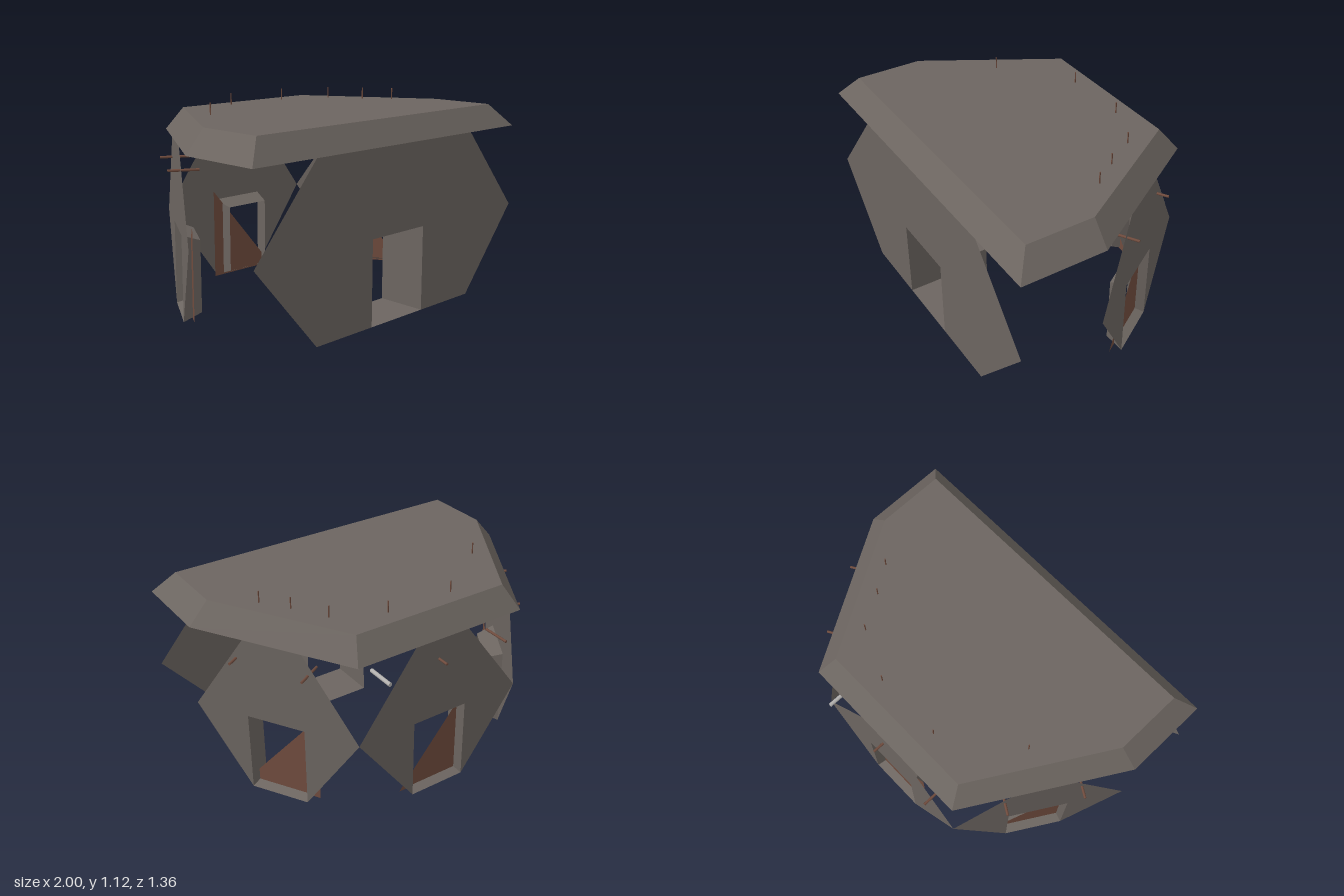
import * as THREE from 'three';

const stone = new THREE.MeshStandardMaterial({ name: 'grey brown wall', color: 0x6c6560, side: THREE.DoubleSide });
const hide = new THREE.MeshStandardMaterial({ name: 'red brown hide', color: 0x704c3e, side: THREE.DoubleSide });
const pale = new THREE.MeshStandardMaterial({ name: 'pale grey pole', color: 0xb4b2b0 });

const MID = 0.467, TOP = 0.93;

function mesh(name, geometry, material, parent) {
  const m = new THREE.Mesh(geometry, material);
  m.name = name;
  parent.add(m);
  return m;
}

// Flat-sided skin between two loops of [x, y, z]
function loft(a, b) {
  const pos = [];
  a.forEach((p, i) => {
    const j = (i + 1) % a.length;
    pos.push(...p, ...a[j], ...b[j], ...p, ...b[j], ...b[i]);
  });
  const g = new THREE.BufferGeometry();
  g.setAttribute('position', new THREE.Float32BufferAttribute(pos, 3));
  g.computeVertexNormals();
  return g;
}

function flat(points) {
  return new THREE.ShapeGeometry(new THREE.Shape(points.map(p => new THREE.Vector2(...p))));
}

// Hexagonal wall sheet with a doorway cut up from the ground
function wallSheet(half, end, door) {
  return flat([[-half, MID], [-end, 0], [-door, 0], [-door, MID], [door, MID],
    [door, 0], [end, 0], [half, MID], [end, TOP], [-end, TOP]]);
}

// Four-sided doorway lining, optionally narrowing inwards
function lining(door, inset, depth) {
  const ring = (w, y0, y1, z) => [[-w, y0, z], [w, y0, z], [w, y1, z], [-w, y1, z]];
  return loft(ring(door, 0, MID, 0), ring(door - inset, inset * 1.4, MID - inset * 1.4, -depth));
}

// Small wall in local space: +z points outwards
function sideWall(name, x, z, angle, half, pegs) {
  const g = new THREE.Group();
  g.name = name;
  g.position.set(x, 0, z);
  g.rotation.y = angle;
  mesh('wallSheet', wallSheet(half, 0.167, 0.167), stone, g);
  mesh('doorLining', lining(0.167, 0.027, 0.1), stone, g);
  const flap = mesh('doorFlap', flat([[-0.22, 0.01], [0.22, 0.01], [0.22, 0.53]]), hide, g);
  flap.position.z = -0.05;
  for (const [u, material] of pegs) {
    const r = material === pale ? 0.011 : 0.007;
    const peg = mesh('peg', new THREE.CylinderGeometry(r, r, 0.16, 8), material, g);
    peg.rotation.x = Math.PI / 2;
    peg.position.set(u, material === pale ? 0.822 : 0.814, -0.015);
  }
  return g;
}

export function createModel() {
  const model = new THREE.Group();
  model.name = 'hut';

  // Broad front wall and its straight entrance passage
  const front = new THREE.Group();
  front.name = 'frontWall';
  front.position.z = 0.68;
  mesh('wallSheet', wallSheet(1, 0.6, 0.2), stone, front);
  mesh('entrancePassage', lining(0.2, 0, 0.28), stone, front);
  model.add(front);

  // Back wall and the two slanted side walls
  const slant = Math.atan2(0.859, -0.513);
  model.add(sideWall('backWall', 0, -0.613, Math.PI, 0.51, [[-0.37, pale], [-0.02, hide], [0.37, hide]]));
  model.add(sideWall('leftWall', 0.755, -0.203, slant, 0.478, [[-0.21, hide], [0.2, hide]]));
  model.add(sideWall('rightWall', -0.755, -0.203, -slant, 0.478, [[-0.2, hide], [0.21, hide]]));

  // Overhanging roof slab with sloped edges
  const eaves = [[-1, 0.68], [1, 0.68], [1, 0.205], [0.513, -0.615], [-0.513, -0.615], [-1, 0.205]];
  const crown = [[-0.89, 0.585], [0.89, 0.585], [0.89, 0.205], [0.46, -0.52], [-0.46, -0.52], [-0.89, 0.205]];
  const lift = (loop, y) => loop.map(([x, z]) => [x, y, z]);
  mesh('roofEdge', loft(lift(eaves, TOP), lift(crown, 1.055)), stone, model);
  const cap = (name, loop, y, dir) => {
    const m = mesh(name, flat(loop.map(([x, z]) => [x, -dir * z])), stone, model);
    m.rotation.x = -dir * Math.PI / 2;
    m.position.y = y;
  };
  cap('roofTop', crown, 1.055, 1);
  cap('ceiling', eaves, TOP, -1);

  // Thin upright spikes on the roof
  for (const [x, z] of [[-0.57, -0.14], [-0.185, -0.43], [0.205, -0.425], [0.475, -0.3], [0.585, -0.117], [0.685, 0.03]]) {
    mesh('roofSpike', new THREE.BoxGeometry(0.005, 0.067, 0.005), hide, model).position.set(x, 1.087, z);
  }
  return model;
}
